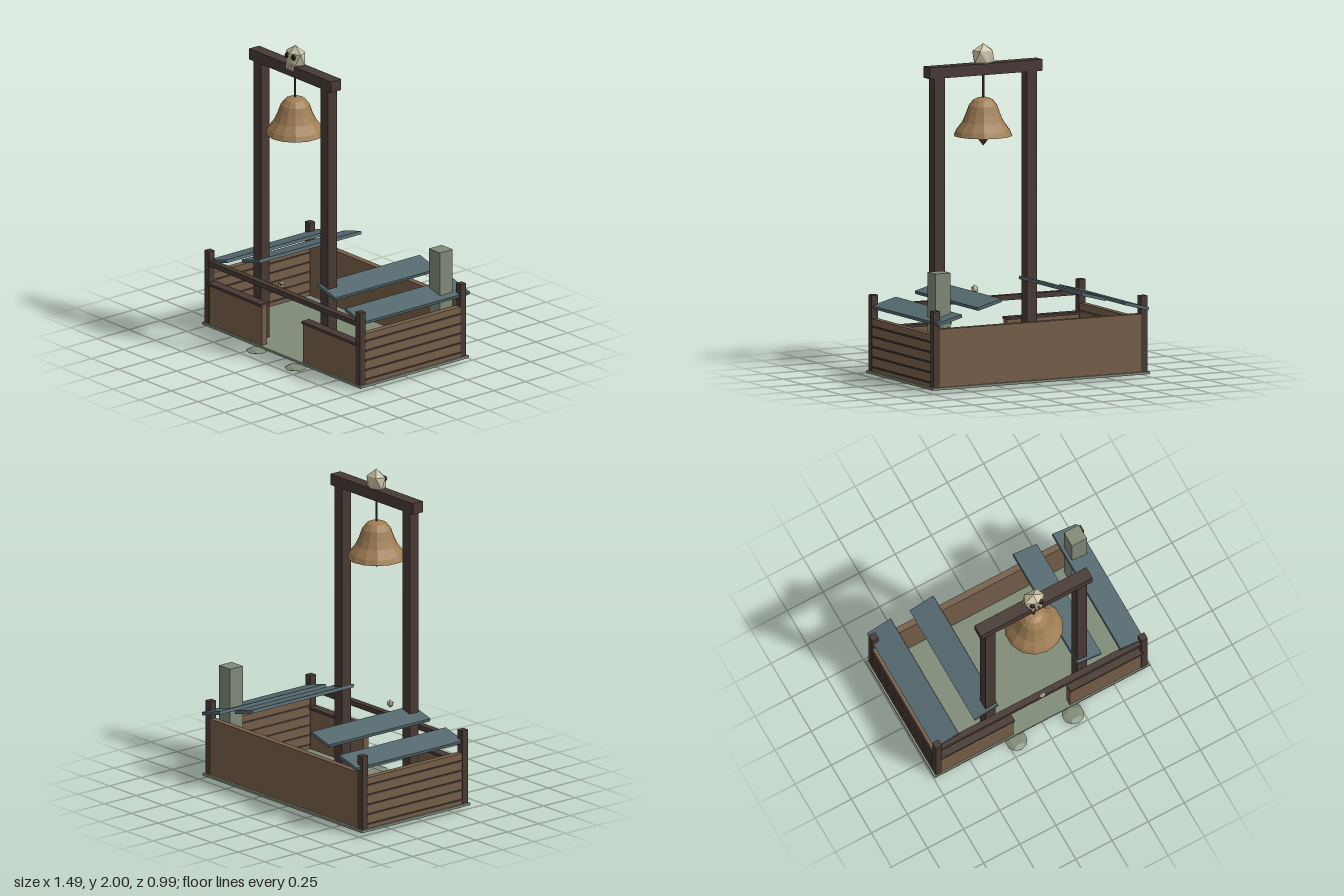
import * as THREE from 'three';

const mat = (name, color, extra = {}) => {
  const m = new THREE.MeshStandardMaterial({ color, ...extra });
  m.name = name;
  return m;
};

export function createModel() {
  const root = new THREE.Group();
  root.name = 'bellShrine';

  const wood = mat('wallWood', 0x765e49);
  const dark = mat('darkTimber', 0x483a34);
  const teal = mat('roofPlank', 0x54696e);
  const stone = mat('paleStone', 0x808a78, { flatShading: true });
  const brass = mat('bellBrass', 0xa17f55, { flatShading: true, side: THREE.DoubleSide });
  const bone = mat('bone', 0xc9c3a5, { flatShading: true });
  const socket = mat('eyeSocket', 0x33261f, { flatShading: true });
  const iron = mat('clapperIron', 0x5c4436, { flatShading: true });

  const add = (name, geo, material, x, y, z, parent = root) => {
    const m = new THREE.Mesh(geo, material);
    m.name = name;
    m.position.set(x, y, z);
    parent.add(m);
    return m;
  };
  // Box given by its minimum and maximum on each axis
  const box = (name, material, x0, x1, y0, y1, z0, z1, parent) =>
    add(name, new THREE.BoxGeometry(x1 - x0, y1 - y0, z1 - z0), material,
      (x0 + x1) / 2, (y0 + y1) / 2, (z0 + z1) / 2, parent);

  // Floor slab and back wall
  box('floor', stone, -0.747, 0.747, 0.02, 0.035, -0.475, 0.383);
  box('backWall', wood, -0.7, 0.7, 0.03, 0.39, -0.46, -0.42);
  box('frontRail', dark, -0.7, 0.7, 0.405, 0.437, 0.332, 0.372);

  for (const s of [-1, 1]) {
    const half = new THREE.Group();
    half.name = s > 0 ? 'leftHalf' : 'rightHalf';
    root.add(half);
    const sideBox = (name, material, a, b, ...rest) =>
      box(name, material, Math.min(s * a, s * b), Math.max(s * a, s * b), ...rest, half);

    // Corner posts
    for (const z of [-0.44, 0.353])
      sideBox('cornerPost', dark, 0.69, 0.734, 0.03, 0.5, z - 0.022, z + 0.022);

    // Side wall with dark battens
    sideBox('sideWall', wood, 0.692, 0.732, 0.03, 0.357, -0.42, 0.332);
    for (const y of [0.062, 0.124, 0.186, 0.248, 0.31])
      sideBox('sideBatten', dark, 0.688, 0.738, y - 0.005, y + 0.005, -0.42, 0.332);

    // Low front wall with cap
    sideBox('frontWall', wood, 0.195, 0.7, 0.03, 0.288, 0.333, 0.373);
    sideBox('frontWallCap', dark, 0.192, 0.7, 0.286, 0.302, 0.323, 0.385);

    // Bell frame post
    sideBox('framePost', dark, 0.282, 0.352, 0.03, 1.82, 0.238, 0.308);

    // Sloping loose roof planks
    const planks = [[0.641, 0.446, 0.846], [0.357, 0.52, 0.806]];
    for (const [x, y, len] of planks) {
      const p = add('roofPlank', new THREE.BoxGeometry(0.17, 0.02, len), teal, s * x, y, -0.077, half);
      p.rotation.z = -s * 0.26;
    }
  }

  // Top beam, chimney and rod
  box('frameBeam', dark, -0.387, 0.387, 1.81, 1.88, 0.233, 0.312);
  box('chimney', stone, 0.582, 0.686, 0.03, 0.72, -0.397, -0.296);
  add('bellRod', new THREE.CylinderGeometry(0.007, 0.007, 0.17, 6), iron, 0, 1.74, 0.273);

  // Bell with open mouth
  const profile = [
    [0.18, 1.437], [0.166, 1.468], [0.128, 1.52], [0.108, 1.565],
    [0.088, 1.62], [0.06, 1.655], [0.03, 1.668], [0, 1.67],
  ].map(([r, y]) => new THREE.Vector2(r, y));
  add('bell', new THREE.LatheGeometry(profile, 14), brass, 0, 0, 0.273);
  const clapper = new THREE.IcosahedronGeometry(1, 0);
  clapper.rotateX(-Math.atan((1 + Math.sqrt(5)) / 2));
  clapper.scale(0.031, 0.058, 0.031);
  add('clapper', clapper, iron, 0, 1.432, 0.273);
  add('clapperRod', new THREE.CylinderGeometry(0.007, 0.007, 0.2, 6), iron, 0, 1.56, 0.273);

  // Faceted skull: upright icosahedron, two sockets, three teeth
  const skull = (name, scale, teeth) => {
    const g = new THREE.Group();
    g.name = name;
    const head = new THREE.IcosahedronGeometry(0.08, 0);
    head.rotateX(-Math.atan((1 + Math.sqrt(5)) / 2));
    head.scale(1, 1, 0.7);
    add('cranium', head, bone, 0, 0, 0, g);
    for (const s of [-1, 1]) {
      const eye = new THREE.IcosahedronGeometry(0.021, 0);
      eye.scale(0.85, 1, 0.7);
      add('eyeSocket', eye, socket, s * 0.03, 0.017, 0.042, g);
    }
    if (teeth) for (const x of [-0.026, 0, 0.026])
      add('tooth', new THREE.BoxGeometry(0.021, 0.036, 0.014), bone, x, -0.053, 0.041, g);
    g.scale.setScalar(scale);
    root.add(g);
    return g;
  };
  skull('beamSkull', 1, true).position.set(0, 1.92, 0.27);
  skull('railSkull', 0.32, false).position.set(0, 0.483, 0.38);

  // Flat stepping stones under and before the entrance
  const stones = [
    [-0.196, 0.41, 0.068], [0.187, 0.425, 0.07], [0.19, 0.25, 0.075], [0, 0.25, 0.08], [-0.11, 0.3, 0.06],
    [0.19, 0.08, 0.07], [0, 0.08, 0.075], [-0.19, 0.08, 0.075], [0, -0.1, 0.078], [0.19, -0.1, 0.07],
  ];
  stones.forEach(([x, z, r], i) => {
    const geo = new THREE.DodecahedronGeometry(1, 0);
    geo.rotateX(0.554); // lay one face flat
    geo.rotateY(i * 1.3);
    geo.scale(r, 0.0145, r);
    add('steppingStone', geo, stone, x, 0.0125, z);
  });

  return root;
}
